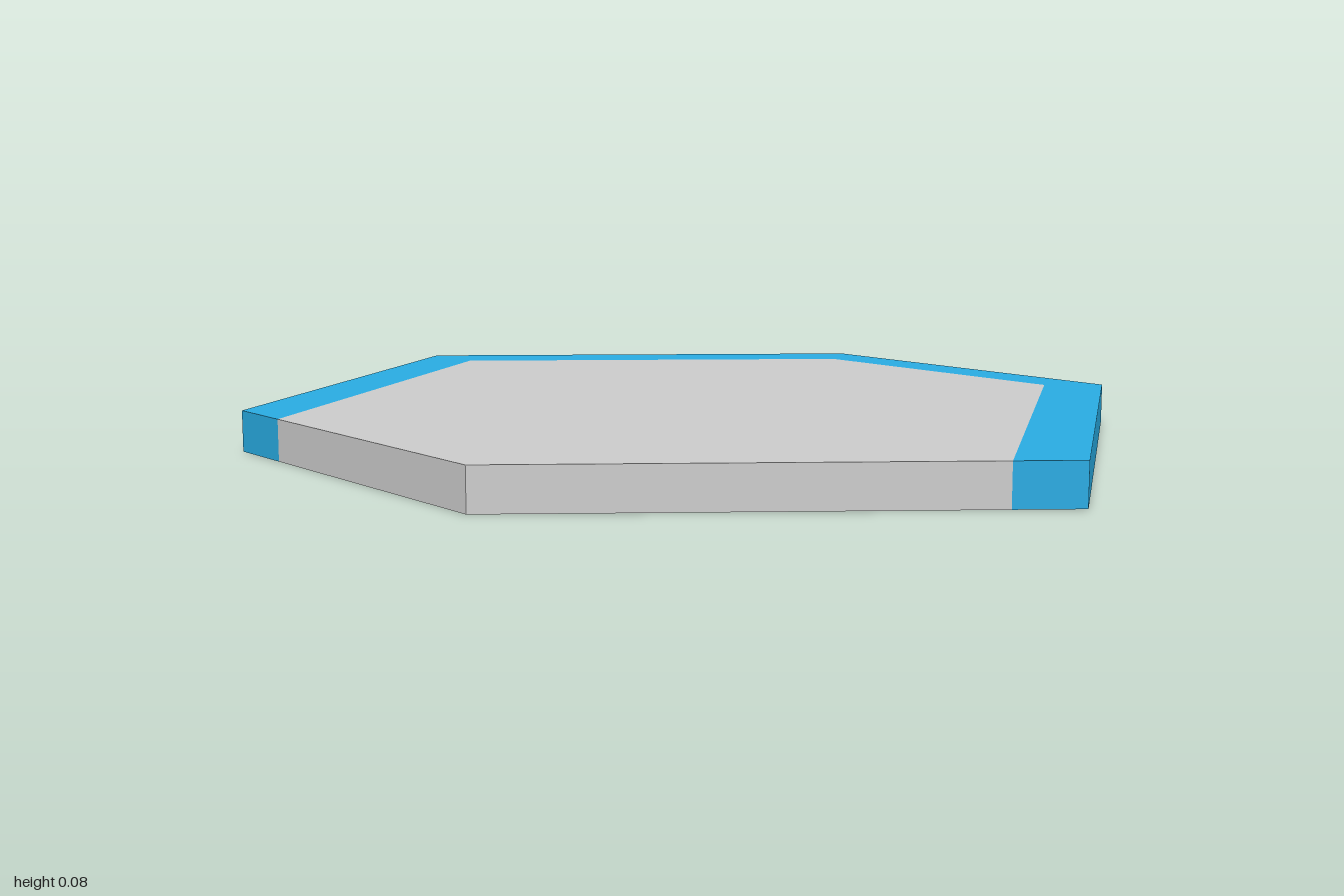
import * as THREE from 'three';

const H = 0.08;

// Hollow prism without a floor: a convex top plus walls on the chosen edges.
// Points are [x, z], counter-clockwise as seen from above.
function openPrism(name, points, wallEdges, material) {
  const pos = [];
  const tri = (...corners) => corners.forEach(([p, y]) => pos.push(p[0], y, p[1]));
  for (let i = 1; i < points.length - 1; i++) {
    tri([points[0], H], [points[i], H], [points[i + 1], H]);
  }
  for (const e of wallEdges) {
    const p = points[e], q = points[(e + 1) % points.length];
    tri([p, 0], [q, 0], [q, H]);
    tri([p, 0], [q, H], [p, H]);
  }
  const geo = new THREE.BufferGeometry();
  geo.setAttribute('position', new THREE.Float32BufferAttribute(pos, 3));
  geo.computeVertexNormals();
  const mesh = new THREE.Mesh(geo, material);
  mesh.name = name;
  return mesh;
}

export function createModel() {
  const group = new THREE.Group();
  group.name = 'hexagonalTile';
  const grey = new THREE.MeshStandardMaterial({ color: 0xcccccc, side: THREE.DoubleSide });
  const blue = new THREE.MeshStandardMaterial({ color: 0x29abe2, side: THREE.DoubleSide });

  // matching corners of the border, from the right point round the back to the front
  const outer = [[1, 0], [0.4, -0.8], [-0.4, -0.8], [-1, 0], [-0.4, 0.8]];
  const inner = [[0.925, 0.1], [0.325, -0.7], [-0.325, -0.7], [-0.85, 0], [-0.25, 0.8]];

  // grey centre, reaching the rim at the front
  group.add(openPrism('centrePanel', [...inner, [0.4, 0.8]], [0, 1, 2, 3, 4, 5], grey));

  // four border strips with mitred ends; the centre supplies their inner wall
  const names = ['rightBackBorder', 'backBorder', 'leftBackBorder', 'leftFrontBorder'];
  names.forEach((name, i) => {
    const strip = [outer[i], outer[i + 1], inner[i + 1], inner[i]];
    group.add(openPrism(name, strip, i === 0 ? [0, 1, 3] : [0, 1], blue));
  });
  return group;
}
